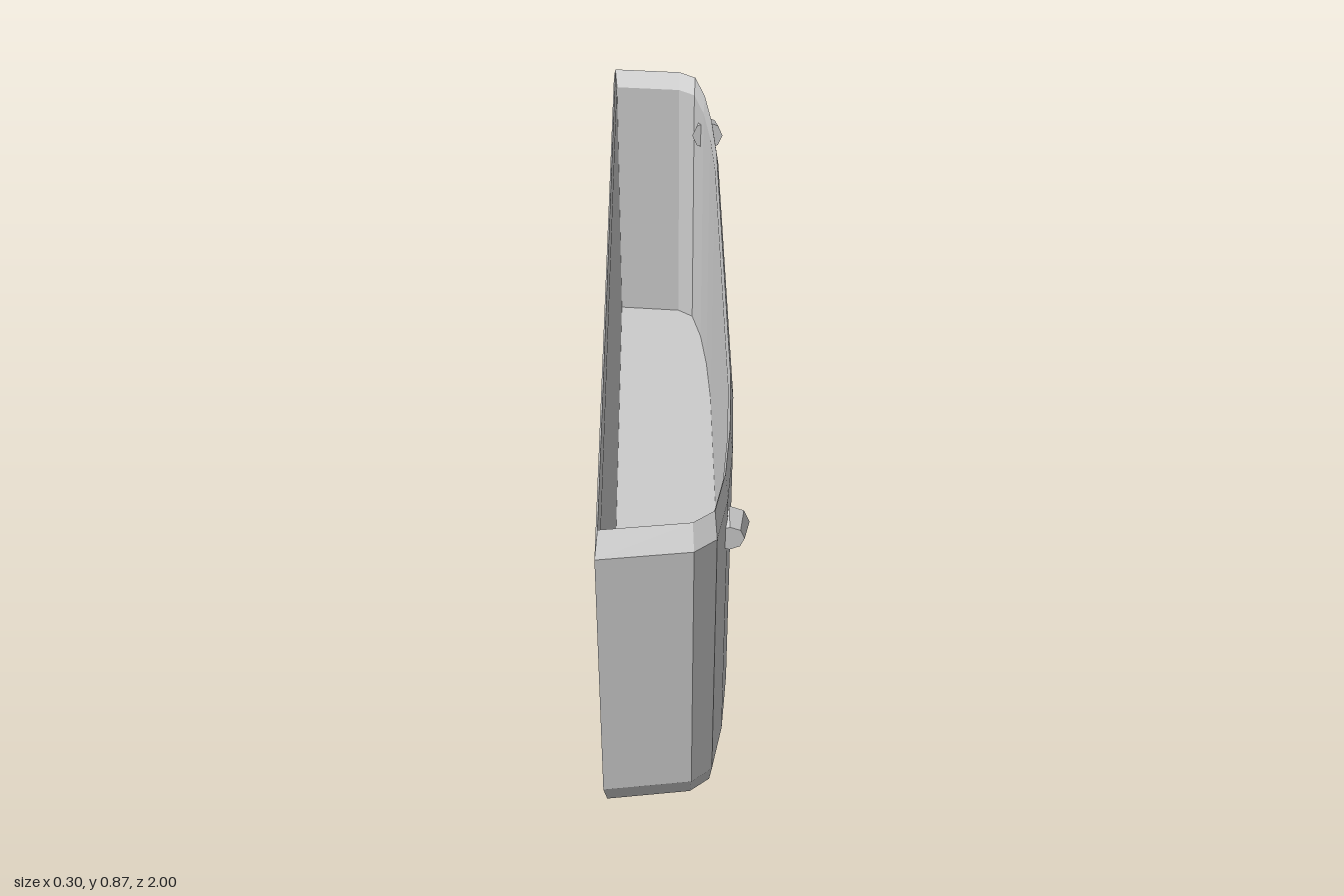
import * as THREE from 'three';

const CX = -0.0125; // centre of the plan, about which each level is scaled

// Plan outline: flat back, bowed face, anticlockwise seen from above
const half = [[-0.153, 1], [0.035, 0.98], [0.08, 0.945], [0.105, 0.83], [0.12, 0.68], [0.128, 0.5]];
const outline = [...half, ...half.map(([x, z]) => [x, -z]).reverse()];

// Levels [scale, y] from the underside, up the outside, over the rim, down the inside
const levels = [
  [0, 0], [0.84, 0], [0.96, 0.075], [1, 0.155], [1, 0.825], [0.96, 0.865],
  [0.93, 0.825], [0.93, 0.075], [0, 0.075],
];

function shellGeometry() {
  const pos = [];
  const at = ([s, y], j) => {
    const [x, z] = outline[j % outline.length];
    return [CX + (x - CX) * s, y, z * s];
  };
  for (let i = 0; i < levels.length - 1; i++) {
    const lo = levels[i], hi = levels[i + 1];
    for (let j = 0; j < outline.length; j++) {
      const a = at(lo, j), b = at(lo, j + 1), c = at(hi, j + 1), d = at(hi, j);
      if (lo[0] > 0) pos.push(...a, ...b, ...c);
      if (hi[0] > 0) pos.push(...a, ...c, ...d);
    }
  }
  const g = new THREE.BufferGeometry();
  g.setAttribute('position', new THREE.Float32BufferAttribute(pos, 3));
  g.computeVertexNormals();
  return g;
}

export function createModel() {
  const model = new THREE.Group();
  const grey = new THREE.MeshStandardMaterial({ color: 0xcccccc, flatShading: true });
  grey.name = 'light grey';

  const add = (name, geometry) => {
    const mesh = new THREE.Mesh(geometry, grey);
    mesh.name = name;
    model.add(mesh);
    return mesh;
  };

  // Open-topped trough
  add('troughShell', shellGeometry());

  // Small tapered studs on the bowed face
  for (const y of [0.198, 0.46]) {
    const stud = add('faceStud', new THREE.CylinderGeometry(0.024, 0.034, 0.031, 8));
    stud.rotation.z = -Math.PI / 2;
    stud.position.set(0.1355, y, 0);
  }

  // Larger studs near the ends, pointing outward along the length
  for (const side of [1, -1]) {
    const stud = add('endStud', new THREE.CylinderGeometry(0.03, 0.042, 0.05, 8));
    stud.rotation.x = side * Math.PI / 2;
    stud.position.set(0.109, 0.741, side * 0.826);
  }
  return model;
}
